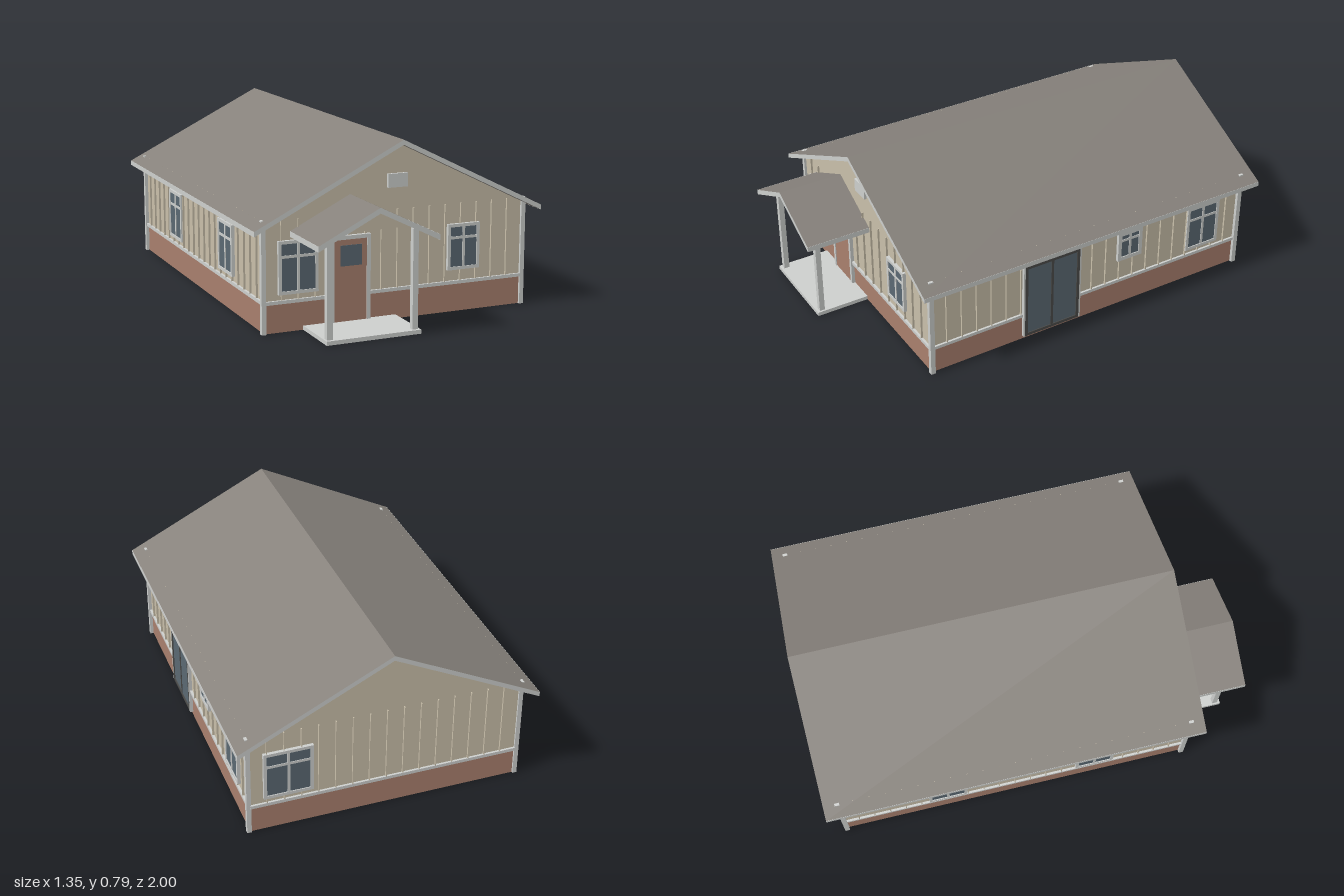
import * as THREE from 'three';

const material = (name, color, side = THREE.FrontSide) => {
  const m = new THREE.MeshStandardMaterial({ color, side });
  m.name = name;
  return m;
};

export function createModel() {
  const siding = material('siding', 0xc8bea9, THREE.DoubleSide);
  const brick = material('brick', 0xa87f6d, THREE.DoubleSide);
  const trim = material('trim', 0xcdcfcd);
  const roofing = material('roofing', 0x86817b);
  const glass = material('glass', 0x5a6872);
  const darkFrame = material('dark frame', 0x4b4b49);

  const model = new THREE.Group();
  model.name = 'house';

  const add = (parent, name, geometry, mat) => {
    const mesh = new THREE.Mesh(geometry, mat);
    mesh.name = name;
    parent.add(mesh);
    return mesh;
  };
  // Box given by its low and high limits on each axis
  const box = (parent, name, mat, x0, x1, y0, y1, z0, z1) => {
    const mesh = add(parent, name, new THREE.BoxGeometry(x1 - x0, y1 - y0, z1 - z0), mat);
    mesh.position.set((x0 + x1) / 2, (y0 + y1) / 2, (z0 + z1) / 2);
    return mesh;
  };
  const group = (parent, name) => {
    const g = new THREE.Group();
    g.name = name;
    parent.add(g);
    return g;
  };
  const polygon = (points) => new THREE.Shape(points.map(([x, y]) => new THREE.Vector2(x, y)));

  const W = 0.61, FRONT = 0.7, BACK = -0.94;
  const SLOPE = 0.496, PEAK = 0.77, SILL = 0.13;
  const EAVE = PEAK - SLOPE * W;

  // Each wall is built flat: x along the wall, z pointing outward
  const wall = (name, x0, x1, gable) => {
    const g = group(model, name);
    const top = gable ? [[x1, EAVE], [0, PEAK], [x0, EAVE]] : [[x1, EAVE], [x0, EAVE]];
    add(g, 'sidingPanel', new THREE.ShapeGeometry(polygon([[x0, SILL], [x1, SILL], ...top])), siding);
    add(g, 'brickBase', new THREE.ShapeGeometry(polygon([[x0, 0], [x1, 0], [x1, SILL], [x0, SILL]])), brick);
    box(g, 'sillTrim', trim, x0, x1, 0.125, 0.14, 0, 0.01);
    const count = Math.round((x1 - x0) / 0.0745);
    for (let i = 1; i < count; i++) {
      const x = x0 + (x1 - x0) * i / count;
      box(g, 'batten', siding, x - 0.002, x + 0.002, 0.14, 0.485, 0, 0.009);
    }
    return g;
  };

  const surround = (g, mat, x0, x1, y0, y1, t, depth) => {
    box(g, 'frameLeft', mat, x0, x0 + t, y0, y1, 0, depth);
    box(g, 'frameRight', mat, x1 - t, x1, y0, y1, 0, depth);
    box(g, 'frameTop', mat, x0 + t, x1 - t, y1 - t, y1, 0, depth);
    box(g, 'frameBottom', mat, x0 + t, x1 - t, y0, y0 + t, 0, depth);
  };
  const windowUnit = (parent, x0, x1, y0, y1, t = 0.014) => {
    const g = group(parent, 'window');
    const mid = (x0 + x1) / 2, bar = y0 + (y1 - y0) * 0.7;
    box(g, 'pane', glass, x0 + t, x1 - t, y0 + t, y1 - t, -0.004, 0.011);
    surround(g, trim, x0, x1, y0, y1, t, 0.015);
    box(g, 'mullion', trim, mid - 0.006, mid + 0.006, y0 + t, y1 - t, 0.008, 0.014);
    box(g, 'crossbar', trim, x0 + t, x1 - t, bar - 0.006, bar + 0.006, 0.008, 0.0135);
  };

  // Front wall: windows, entrance door and gable vent
  const front = wall('frontWall', -W, W, true);
  front.position.z = FRONT;
  windowUnit(front, -0.55, -0.37, 0.165, 0.395);
  windowUnit(front, 0.24, 0.395, 0.19, 0.395);
  const door = group(front, 'frontDoor');
  box(door, 'doorLeaf', brick, -0.3, -0.145, 0.005, 0.376, -0.004, 0.012);
  box(door, 'doorPane', glass, -0.27, -0.17, 0.26, 0.35, 0.01, 0.014);
  for (const x of [-0.315, -0.147]) box(door, 'doorJamb', trim, x, x + 0.017, 0.005, 0.392, 0, 0.016);
  box(door, 'doorHead', trim, -0.298, -0.147, 0.375, 0.392, 0, 0.016);
  box(front, 'gableVent', trim, -0.048, 0.044, 0.58, 0.64, 0, 0.012);

  // Back wall
  const back = wall('backWall', -W, W, true);
  back.position.z = BACK;
  back.rotation.y = Math.PI;
  windowUnit(back, -0.55, -0.33, 0.165, 0.395);

  // Wall on the +x side, with the sliding door
  const sideA = wall('leftWall', -FRONT, -BACK, false);
  sideA.position.x = W;
  sideA.rotation.y = Math.PI / 2;
  windowUnit(sideA, 0.255, 0.385, 0.245, 0.395, 0.018);
  windowUnit(sideA, 0.64, 0.82, 0.165, 0.395);
  const slider = group(sideA, 'slidingDoor');
  box(slider, 'sliderGlass', glass, -0.225, 0.04, 0.03, 0.385, 0.001, 0.011);
  surround(slider, darkFrame, -0.235, 0.048, 0.018, 0.393, 0.014, 0.015);
  box(slider, 'meetingStile', darkFrame, -0.1, -0.088, 0.032, 0.379, 0.008, 0.014);
  for (const x of [-0.243, 0.048]) box(slider, 'sliderJamb', trim, x, x + 0.008, 0.018, 0.4, 0, 0.015);
  box(slider, 'sliderHead', trim, -0.235, 0.048, 0.393, 0.4, 0, 0.015);

  // Wall on the -x side
  const sideB = wall('rightWall', BACK, FRONT, false);
  sideB.position.x = -W;
  sideB.rotation.y = -Math.PI / 2;
  windowUnit(sideB, -0.53, -0.35, 0.165, 0.395);
  windowUnit(sideB, 0.17, 0.35, 0.165, 0.395);

  // Corner boards
  for (const x of [-0.615, 0.615]) {
    for (const z of [FRONT, BACK + 0.003]) {
      box(model, 'cornerBoard', trim, x - 0.01, x + 0.01, 0, 0.487, z - 0.011, z + 0.011);
    }
  }

  // Folded roof slab with pale gable ends and eave boards
  const roof = (name, parent, cx, half, peak, slope, t, z0, z1) => {
    const g = group(parent, name);
    const low = peak - slope * half;
    const shape = polygon([[-half, low - t], [0, peak - t], [half, low - t], [half, low], [0, peak], [-half, low]]);
    const slab = new THREE.ExtrudeGeometry(shape, { depth: z1 - z0, bevelEnabled: false });
    add(g, 'roofSlab', slab, [trim, roofing]).position.z = z0;
    for (const s of [-1, 1]) {
      const x = s * half;
      box(g, 'eaveBoard', trim, x - 0.001, x + 0.001, low - t, low, z0, z1);
    }
    g.position.x = cx;
  };
  roof('mainRoof', model, 0, 0.674, 0.791, SLOPE, 0.022, -1, 0.76);

  // Porch: slab, posts, small gable and roof
  const porch = group(model, 'porch');
  box(porch, 'porchSlab', trim, -0.435, -0.005, 0, 0.018, 0.7, 0.95);
  for (const x of [-0.428, -0.04]) box(porch, 'porchPost', trim, x, x + 0.025, 0.018, 0.45, 0.912, 0.937);
  add(porch, 'porchGable', new THREE.ShapeGeometry(polygon([[-0.385, 0.461], [-0.055, 0.461], [-0.22, 0.545]])), siding)
    .position.z = 0.935;
  roof('porchRoof', porch, -0.22, 0.272, 0.566, 0.495, 0.024, 0.7, 1);

  return model;
}
